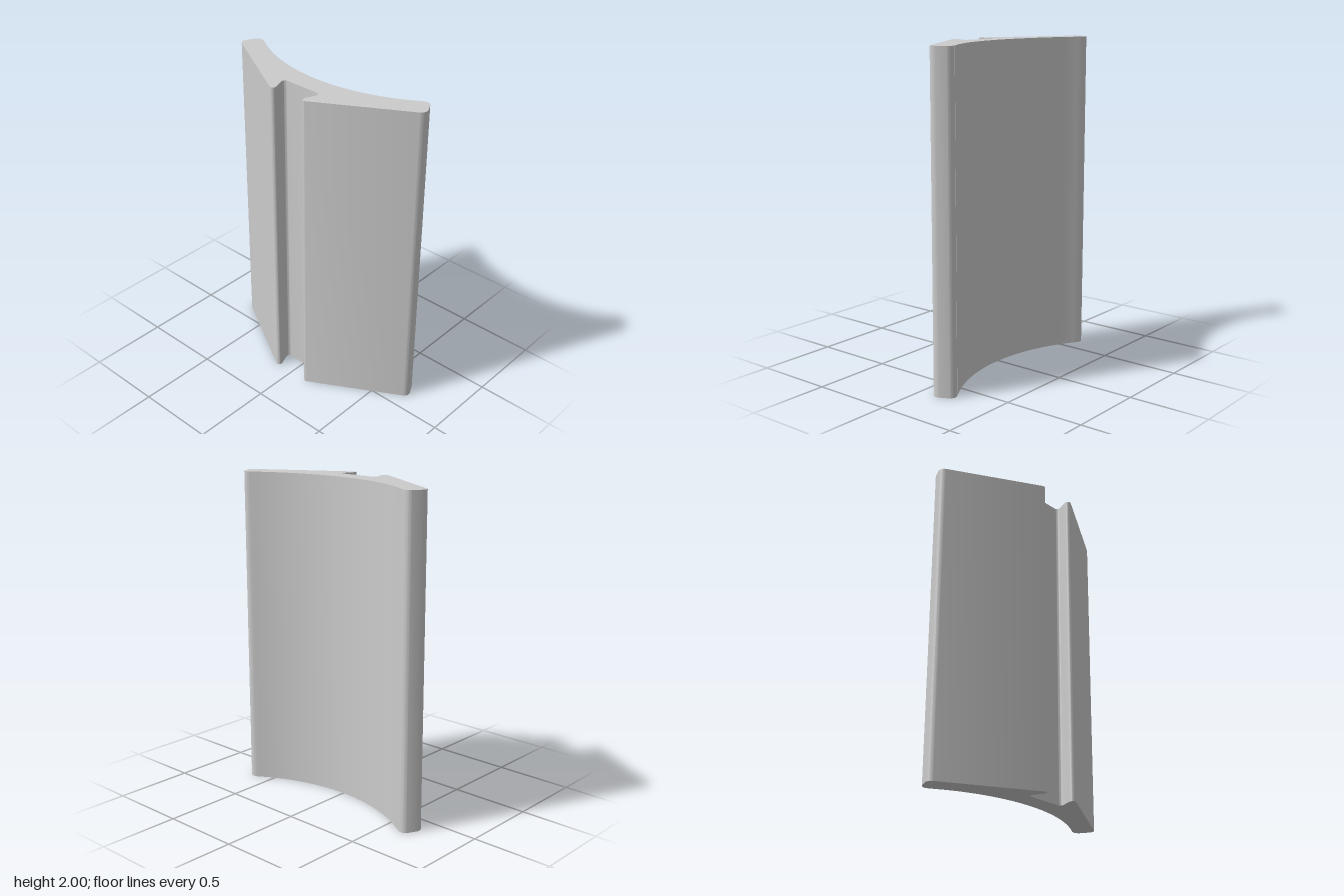
import * as THREE from 'three';
import { toCreasedNormals } from 'three/addons/utils/BufferGeometryUtils.js';

const HEIGHT = 2;
const rad = THREE.MathUtils.degToRad;

// Plan outline: a hollow front face, rounded ends and a dovetail slot in the back
function createOutline() {
  const hollow = { x: 1.12, r: 1.09, half: Math.atan2(0.63, 0.94) };
  const halfDeg = THREE.MathUtils.radToDeg(hollow.half);

  // Rounded corners of one half: [x, y, radius, start, end, clockwise]
  const corners = [
    [0.18, 0.63, 0.04, -halfDeg, 60, false], // end, hollow side
    [0.13, 0.656, 0.04, 60, 150, false], // end, outer side
    [-0.2, 0.125, 0.02, 150, 290, false], // lip of the slot
    [-0.118, 0.113, 0.02, 110, 0, true], // inner corner of the slot
  ];
  const mirrored = corners.map(([x, y, r, s, e, cw]) => [x, -y, r, -e, -s, cw]).reverse();

  const shape = new THREE.Shape();
  const addArc = (x, y, r, start, end, cw, steps) => {
    const pts = new THREE.EllipseCurve(x, y, r, r, start, end, cw).getPoints(steps);
    pts.forEach((p, i) => {
      if (shape.curves.length === 0 && i === 0) shape.moveTo(p.x, p.y);
      else if (p.distanceTo(shape.currentPoint) > 0.002) shape.lineTo(p.x, p.y);
    });
  };
  addArc(hollow.x, 0, hollow.r, Math.PI + hollow.half, Math.PI - hollow.half, true, 40);
  for (const [x, y, r, s, e, cw] of [...corners, ...mirrored]) {
    addArc(x, y, r, rad(s), rad(e), cw, 10);
  }
  shape.closePath();
  return shape;
}

export function createModel() {
  const group = new THREE.Group();
  group.name = 'slottedProfile';

  // Outline extruded to full height and stood upright
  const extruded = new THREE.ExtrudeGeometry(createOutline(), {
    depth: HEIGHT,
    bevelEnabled: false,
  });
  extruded.rotateX(-Math.PI / 2);

  const bar = new THREE.Mesh(
    toCreasedNormals(extruded, rad(30)),
    new THREE.MeshStandardMaterial({ color: 0xcccccc })
  );
  bar.name = 'curvedBar';
  group.add(bar);
  return group;
}
